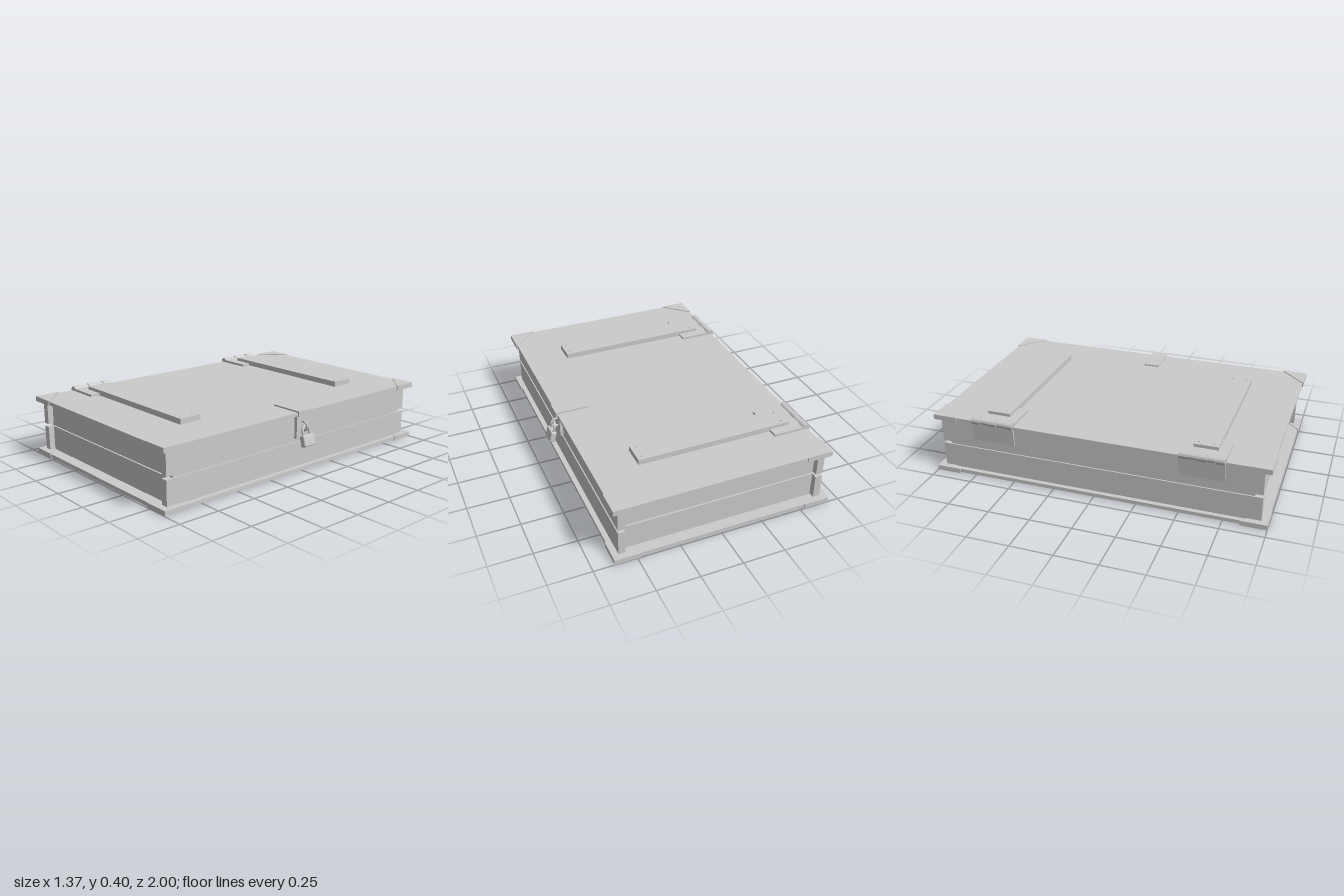
import * as THREE from 'three';
import { RoundedBoxGeometry } from 'three/addons/geometries/RoundedBoxGeometry.js';

const grey = new THREE.MeshStandardMaterial({ color: 0xcccccc, flatShading: true });
const smooth = new THREE.MeshStandardMaterial({ color: 0xcccccc });

function add(parent, name, geometry, material = grey) {
  const mesh = new THREE.Mesh(geometry, material);
  mesh.name = name;
  parent.add(mesh);
  return mesh;
}

// Box given by its lower and upper limits on each axis
function box(parent, name, [x0, x1], [y0, y1], [z0, z1]) {
  const mesh = add(parent, name, new THREE.BoxGeometry(x1 - x0, y1 - y0, z1 - z0));
  mesh.position.set((x0 + x1) / 2, (y0 + y1) / 2, (z0 + z1) / 2);
  return mesh;
}

function group(parent, name) {
  const g = new THREE.Group();
  g.name = name;
  parent.add(g);
  return g;
}

// Triangular corner guard with its right angle at (x, z), pointing outwards by sx, sz
function cornerGuard(parent, x, y0, y1, sx, sz) {
  const shape = new THREE.Shape([
    new THREE.Vector2(x, -sz),
    new THREE.Vector2(x - sx * 0.155, -sz),
    new THREE.Vector2(x - sx * 0.155, -sz * 0.994),
    new THREE.Vector2(x - sx * 0.006, -sz * 0.85),
    new THREE.Vector2(x, -sz * 0.85),
  ]);
  const geometry = new THREE.ExtrudeGeometry(shape, { depth: y1 - y0, bevelEnabled: false });
  geometry.rotateX(-Math.PI / 2).translate(0, y0, 0);
  add(parent, 'cornerGuard', geometry);
}

// Half of the case: two long sides and two recessed ends
function frame(parent, name, y0, y1) {
  const g = group(parent, name);
  const y = [y0, y1];
  box(g, 'spineSide', [-0.648, -0.605], y, [-0.96, 0.96]);
  box(g, 'lockSide', [0.552, 0.593], y, [-0.96, 0.96]);
  for (const s of [-1, 1]) {
    const z = [0.89 * s, 0.925 * s].sort((a, b) => a - b);
    box(g, 'endPanel', [-0.605, 0.552], y, z);
  }
}

// Hinge with leaves, knuckles and a long screwed strap
function hinge(parent, zc) {
  const g = group(parent, 'hinge');
  g.position.z = zc;
  box(g, 'topLeaf', [-0.65, -0.445], [0.358, 0.374], [-0.13, 0.13]);
  const leaf = new THREE.Shape([
    new THREE.Vector2(-0.648, 0.235), new THREE.Vector2(-0.655, 0.235),
    new THREE.Vector2(-0.664, 0.36), new THREE.Vector2(-0.648, 0.36),
  ]);
  const leafGeometry = new THREE.ExtrudeGeometry(leaf, { depth: 0.26, bevelEnabled: false });
  add(g, 'backLeaf', leafGeometry.translate(0, 0, -0.13));
  for (let i = 0; i < 5; i++) {
    const radius = i % 2 ? 0.021 : 0.024;
    const knuckle = add(g, 'knuckle', new THREE.CylinderGeometry(radius, radius, 0.05, 12));
    knuckle.rotation.x = Math.PI / 2;
    knuckle.position.set(-0.65, 0.363, (i - 2) * 0.052);
  }
  box(g, 'strap', [-0.57, 0.365], [0.358, 0.393], [-0.07, 0.07]);
  for (const x of [-0.537, 0.333]) for (const z of [-0.042, 0.042]) {
    const screw = add(g, 'screw', new THREE.CylinderGeometry(0.006, 0.009, 0.006, 10));
    screw.position.set(x, 0.395, z);
  }
}

function lock(parent) {
  const g = group(parent, 'hasp');
  box(g, 'haspTop', [0.43, 0.632], [0.357, 0.369], [-0.05, 0.05]);
  box(g, 'haspLip', [0.618, 0.632], [0.335, 0.36], [-0.05, 0.05]);
  box(g, 'haspPlate', [0.59, 0.612], [0.2, 0.336], [-0.045, 0.045]);
  // Staple loop standing out of the plate
  const staple = new THREE.CatmullRomCurve3([
    [0.606, 0.298], [0.628, 0.298], [0.648, 0.285], [0.65, 0.266], [0.634, 0.25], [0.606, 0.248],
  ].map(([x, y]) => new THREE.Vector3(x, y, 0)));
  add(g, 'staple', new THREE.TubeGeometry(staple, 20, 0.007, 8), smooth);

  // Hanging padlock, tilted away from the case
  const p = group(parent, 'padlock');
  p.position.set(0.657, 0.195, 0);
  p.rotation.z = 0.27;
  add(p, 'padlockBody', new RoundedBoxGeometry(0.036, 0.068, 0.09, 2, 0.008), smooth);
  const points = [[-0.027, 0.025], [-0.027, 0.058]];
  for (let i = 1; i < 8; i++) {
    const a = Math.PI * (1 - i / 8);
    points.push([Math.cos(a) * 0.027, 0.058 + Math.sin(a) * 0.027]);
  }
  points.push([0.027, 0.058], [0.027, 0.025]);
  const shackle = new THREE.CatmullRomCurve3(points.map(([z, y]) => new THREE.Vector3(0, y, z)));
  add(p, 'shackle', new THREE.TubeGeometry(shackle, 28, 0.008, 8), smooth);
  const keyhole = add(p, 'keyhole', new THREE.CylinderGeometry(0.01, 0.01, 0.003, 12));
  keyhole.rotation.z = Math.PI / 2;
  keyhole.position.set(0.0185, -0.008, 0);
}

export function createModel() {
  const model = new THREE.Group();
  model.name = 'lockedCase';

  // Covers and the split case between them
  box(model, 'bottomCover', [-0.675, 0.623], [0.004, 0.026], [-0.994, 0.994]);
  box(model, 'topCover', [-0.66, 0.623], [0.34, 0.36], [-0.994, 0.994]);
  frame(model, 'lowerCase', 0.026, 0.174);
  frame(model, 'upperCase', 0.192, 0.34);
  box(model, 'seam', [-0.64, 0.585], [0.17, 0.196], [-0.915, 0.915]);

  // Corner guards on both covers
  for (const sz of [-1, 1]) {
    cornerGuard(model, -0.684, 0, 0.03, -1, sz);
    cornerGuard(model, 0.63, 0, 0.03, 1, sz);
    cornerGuard(model, -0.667, 0.335, 0.365, -1, sz);
    cornerGuard(model, 0.63, 0.335, 0.365, 1, sz);
  }

  for (const z of [-0.62, 0.62]) hinge(model, z);
  lock(model);
  return model;
}
